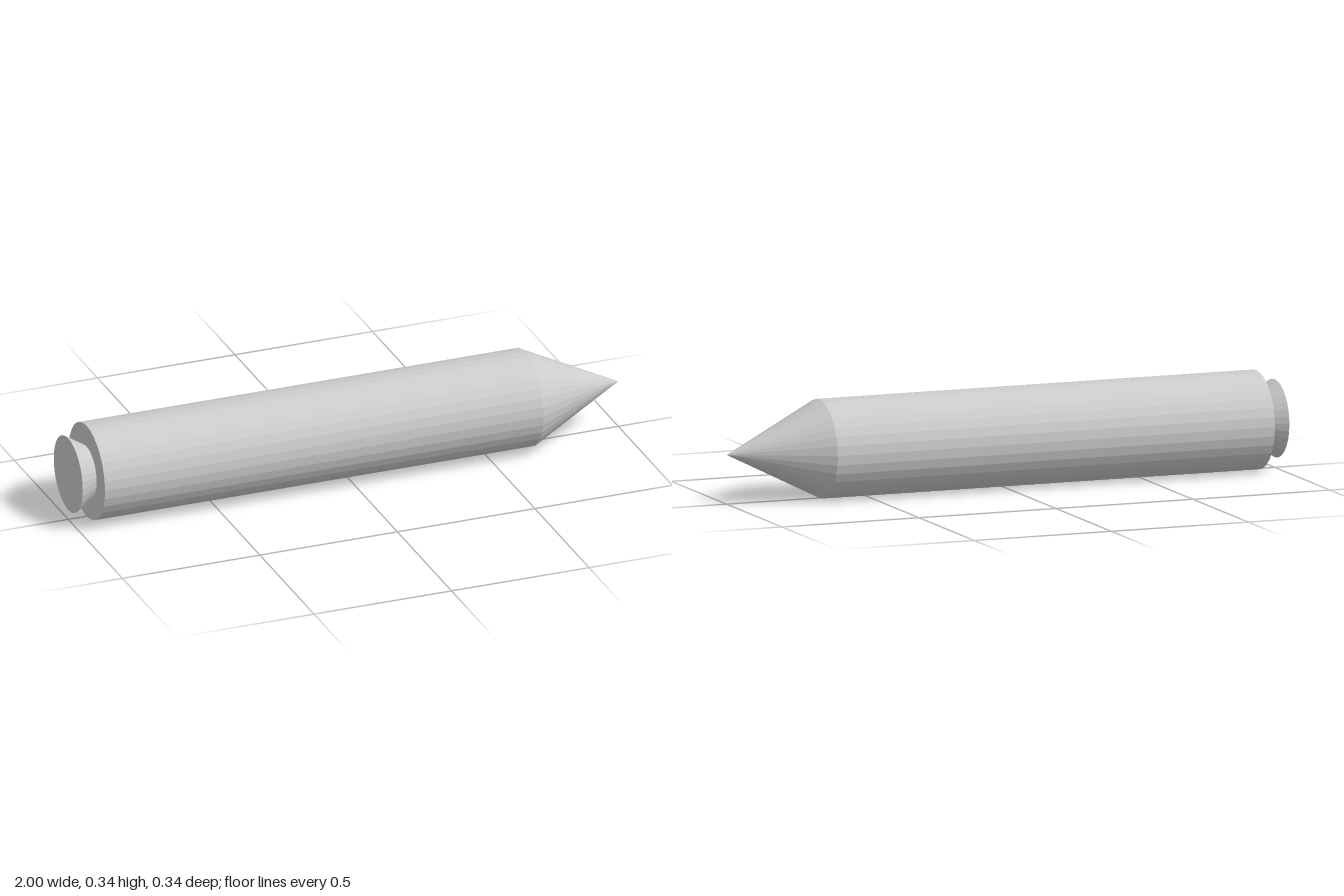
import * as THREE from 'three';

const SIDES = 32;
const RADIUS = 0.169;

export function createModel() {
  const group = new THREE.Group();
  const material = new THREE.MeshStandardMaterial({ color: 0xcccccc, flatShading: true });

  // Round section lying along x, from x0 to x1 with a radius at each end
  function addSection(name, x0, x1, r0, r1) {
    const geometry = r1 === 0
      ? new THREE.ConeGeometry(r0, x1 - x0, SIDES)
      : new THREE.CylinderGeometry(r1, r0, x1 - x0, SIDES);
    geometry.rotateZ(-Math.PI / 2);
    const mesh = new THREE.Mesh(geometry, material);
    mesh.name = name;
    mesh.position.set((x0 + x1) / 2, RADIUS, 0);
    group.add(mesh);
  }

  addSection('nozzle', -1, -0.933, 0.134, 0.092);
  addSection('body', -0.933, 0.662, RADIUS, RADIUS);
  addSection('noseCone', 0.662, 1, RADIUS, 0);

  return group;
}
